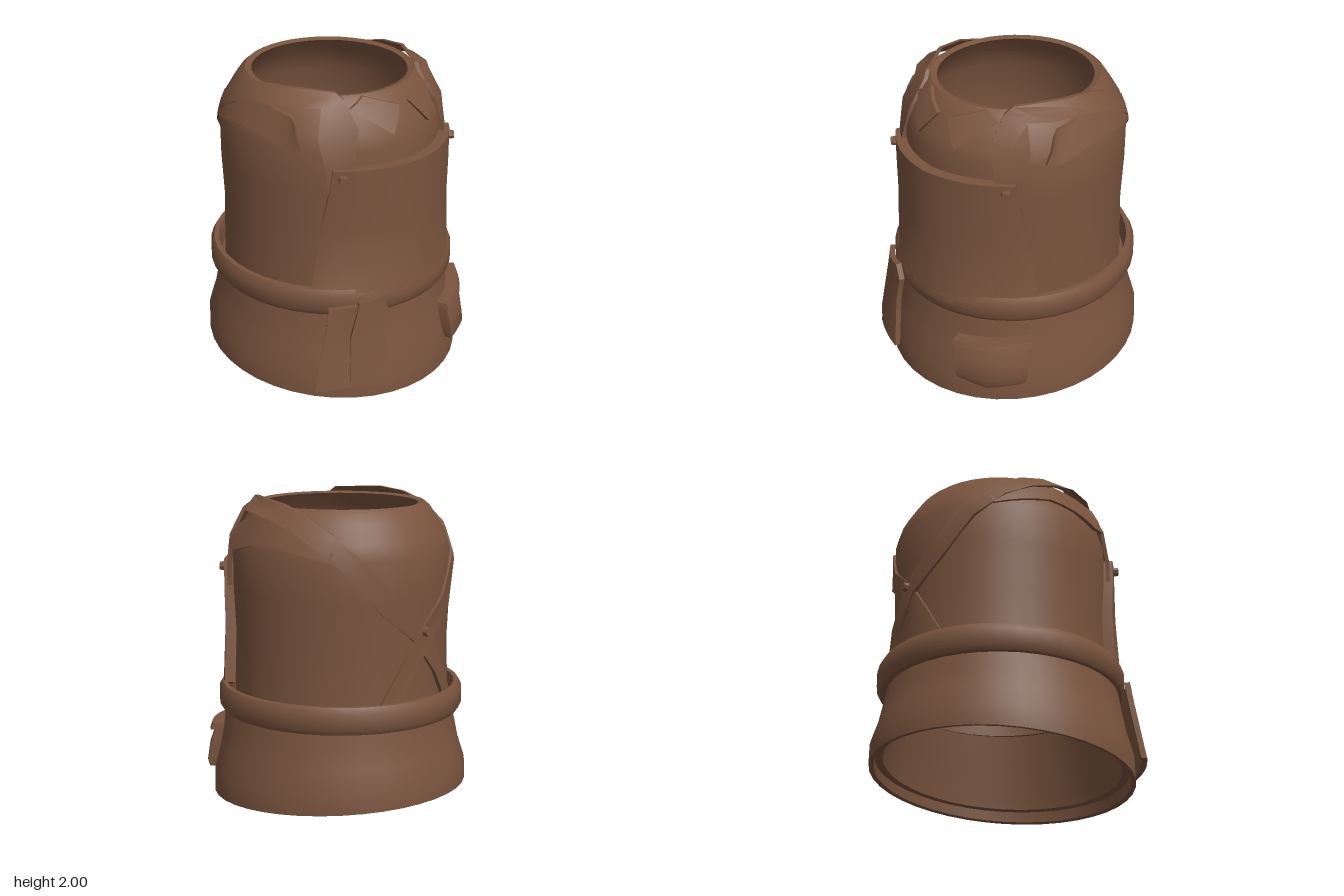
import * as THREE from 'three';
import { toCreasedNormals } from 'three/addons/utils/BufferGeometryUtils.js';

const leather = new THREE.MeshStandardMaterial({ color: 0x7a543e, side: THREE.DoubleSide });
leather.name = 'brown leather';

// outer profiles as [y, radius]
const TORSO = [[0.6, 0.7], [0.8, 0.695], [1.1, 0.687], [1.4, 0.7], [1.66, 0.7], [1.76, 0.67], [1.87, 0.605], [1.93, 0.565], [1.96, 0.53]];
const SKIRT = [[0.06, 0.835], [0.2, 0.833], [0.35, 0.79], [0.5, 0.762], [0.64, 0.742]];

function radius(profile, y) {
  if (y <= profile[0][0]) return profile[0][1];
  for (let i = 1; i < profile.length; i++) {
    const [y0, r0] = profile[i - 1], [y1, r1] = profile[i];
    if (y <= y1) return r0 + (r1 - r0) * (y - y0) / (y1 - y0);
  }
  return profile[profile.length - 1][1];
}

// point on the garment: angle in degrees from the front towards +x, height, lift off the surface
function onSurface(profile, a, y, lift) {
  const t = THREE.MathUtils.degToRad(a), r = radius(profile, y) + lift;
  return [r * Math.sin(t), y, r * Math.cos(t) * 1.02 - (profile === TORSO ? 0.02 : 0)];
}

function mesh(name, geometry, crease = 0.6) {
  const m = new THREE.Mesh(toCreasedNormals(geometry, crease), leather);
  m.name = name;
  return m;
}

// closed slab draped on the garment; each row is a list of [angle, y, lift]
function slab(name, profile, rows, { thick = 0.03, sub = 4, mirror = false } = {}) {
  const grid = rows.map(row => {
    const out = [];
    for (let i = 0; i < row.length - 1; i++) {
      for (let s = 0; s < sub; s++) out.push(row[i].map((v, k) => v + (row[i + 1][k] - v) * s / sub));
    }
    out.push(row[row.length - 1]);
    return mirror ? out.map(([a, y, l]) => [-a, y, l]).reverse() : out;
  });
  const n = grid[0].length, m = grid.length, total = n * m;
  const pos = [], idx = [];
  for (const t of [0, thick]) {
    for (const row of grid) for (const [a, y, l] of row) pos.push(...onSurface(profile, a, y, l - t));
  }
  const quad = (a, b, c, d) => idx.push(a, b, c, a, c, d);
  for (let j = 0; j < m - 1; j++) {
    for (let i = 0; i < n - 1; i++) {
      const p = j * n + i;
      quad(p, p + 1, p + n + 1, p + n);
      quad(total + p, total + p + n, total + p + n + 1, total + p + 1);
    }
  }
  const side = (a, b) => quad(b, a, total + a, total + b);
  for (let i = 0; i < n - 1; i++) {
    side(i, i + 1);
    side((m - 1) * n + i + 1, (m - 1) * n + i);
  }
  for (let j = 0; j < m - 1; j++) {
    side((j + 1) * n, j * n);
    side(j * n + n - 1, (j + 1) * n + n - 1);
  }
  const g = new THREE.BufferGeometry();
  g.setAttribute('position', new THREE.Float32BufferAttribute(pos, 3));
  g.setIndex(idx);
  return mesh(name, g);
}

// closed ring from [y, radius] points, oval in z, with an optional tilt of the hem
function ring(name, profile, shift, tilt = () => 0) {
  const pts = [...profile, profile[0]].map(([y, r]) => new THREE.Vector2(r, y));
  const g = new THREE.LatheGeometry(pts, 40);
  const p = g.attributes.position;
  for (let i = 0; i < p.count; i++) {
    const z = p.getZ(i) * 1.02 + shift;
    p.setZ(i, z);
    p.setY(i, p.getY(i) + tilt(p.getY(i)) * z);
  }
  return mesh(name, g);
}

function button(name, a, y, lift) {
  const g = new THREE.CylinderGeometry(0.026, 0.034, 0.04, 8);
  g.rotateX(Math.PI / 2);
  const b = mesh(name, g);
  b.position.set(...onSurface(TORSO, a, y, lift));
  b.rotation.y = THREE.MathUtils.degToRad(a);
  return b;
}

export function createModel() {
  const model = new THREE.Group();
  model.name = 'tunic';

  // body shells, hollow all the way through
  model.add(ring('torso', [...TORSO, [1.95, 0.49], [1.86, 0.56], [1.7, 0.65], [1.4, 0.66], [0.6, 0.66]], -0.02));
  model.add(ring('skirt', [...SKIRT, [0.64, 0.66], [0.45, 0.69], [0.2, 0.74], [0.13, 0.75], [0.13, 0.8], [0.065, 0.805]], 0,
    y => -0.076 * THREE.MathUtils.clamp((0.62 - y) / 0.55, 0, 1)));
  model.add(ring('belt', [[0.6, 0.73], [0.6, 0.775], [0.635, 0.797], [0.735, 0.797], [0.775, 0.775], [0.775, 0.745], [0.72, 0.73]], -0.01,
    () => -0.008));

  // front bib
  model.add(slab('bib', TORSO, [
    [[-38, 0.67, 0.105], [0, 0.67, 0.11], [38, 0.67, 0.105]],
    [[-45, 0.73, 0.105], [0, 0.73, 0.11], [45, 0.73, 0.105]],
    [[-54, 0.77, 0.075], [0, 0.77, 0.105], [54, 0.77, 0.075]],
    [[-50, 1.15, 0.065], [0, 1.15, 0.1], [50, 1.15, 0.065]],
    [[-46, 1.4, 0.06], [0, 1.4, 0.09], [46, 1.4, 0.06]],
    [[-44, 1.57, 0.06], [0, 1.57, 0.09], [44, 1.57, 0.06]],
  ], { thick: 0.07, sub: 8 }));

  for (const mirror of [false, true]) {
    const s = mirror ? 'right' : 'left', sign = mirror ? -1 : 1;
    const up = mirror ? 0.01 : 0; // one strap lies over the other at the back

    // strap over the shoulder, crossing at the back
    model.add(slab(s + 'Strap', TORSO, [
      [[33, 1.45, 0.03], [46, 1.4, 0.04]],
      [[34, 1.57, 0.03], [47, 1.55, 0.04]],
      [[31, 1.8, 0.03], [51, 1.75, 0.045]],
      [[37, 1.95, 0.03], [50, 1.92, 0.06]],
      [[42, 1.99, 0.025], [62, 1.92, 0.08]],
      [[75, 2.0, 0.025], [78, 1.92, 0.085]],
      [[95, 1.98, 0.03], [92, 1.89, 0.06]],
      [[112, 1.93, 0.03], [106, 1.84, 0.04]],
      [[130, 1.82, 0.025], [122, 1.73, 0.03]],
      [[146, 1.65, 0.02], [138, 1.57, 0.025]],
      [[164, 1.4, 0.02], [155, 1.32, 0.02]],
      [[182, 1.22, 0.02 + up], [174, 1.14, 0.02 + up]],
      [[196, 0.98, 0.025 + up], [189, 0.92, 0.025 + up]],
      [[207, 0.76, 0.03], [199, 0.72, 0.03]],
    ], { mirror, sub: 2, thick: 0.025 }));

    // shoulder flap under the strap
    model.add(slab(s + 'ShoulderFlap', TORSO, [
      [[58, 1.68, 0.045], [66, 1.67, 0.03], [81, 1.72, 0.02], [97, 1.74, 0.02], [113, 1.7, 0.02], [128, 1.66, 0.015]],
      [[61, 1.76, 0.05], [65, 1.8, 0.035], [81, 1.83, 0.025], [97, 1.85, 0.025], [114, 1.78, 0.02], [130, 1.71, 0.015]],
      [[63, 1.83, 0.06], [66, 1.86, 0.045], [81, 1.89, 0.03], [97, 1.9, 0.03], [114, 1.82, 0.02], [130, 1.73, 0.015]],
    ], { mirror, sub: 2, thick: 0.025 }));

    // pointed collar tip
    model.add(slab(s + 'Collar', TORSO, [
      [[4, 1.885, 0.035], [13, 1.74, 0.035]],
      [[13, 1.92, 0.03], [22, 1.82, 0.03]],
      [[25, 1.955, 0.02], [34, 1.9, 0.025]],
    ], { mirror, thick: 0.025 }));

    model.add(button(s + 'BibButton', sign * 39.5, 1.515, 0.075));
  }
  model.add(button('backButton', 180, 1.2, 0.035));

  // pouch with lid
  model.add(slab('pouch', SKIRT, [
    [[19.5, 0.17, 0.03], [33, 0.12, 0.03], [49, 0.17, 0.03]],
    [[18.5, 0.21, 0.045], [33, 0.19, 0.06], [49.5, 0.21, 0.045]],
    [[18, 0.32, 0.06], [33, 0.32, 0.075], [50, 0.32, 0.06]],
    [[18, 0.43, 0.05], [33, 0.44, 0.05], [50, 0.45, 0.05]],
  ], { thick: 0.09 }));
  model.add(slab('pouchLid', SKIRT, [
    [[16.5, 0.41, 0.08], [33, 0.42, 0.09], [52, 0.435, 0.08]],
    [[17, 0.445, 0.075], [33, 0.46, 0.08], [52, 0.48, 0.075]],
  ], { thick: 0.08 }));

  // two cloth tails hanging over the belt
  model.add(slab('outerTail', SKIRT, [
    [[-52, 0.11, 0.09], [-36, 0.14, 0.06]],
    [[-50, 0.35, 0.09], [-38, 0.35, 0.07]],
    [[-48, 0.52, 0.09], [-37, 0.52, 0.07]],
    [[-47, 0.66, 0.085], [-34, 0.68, 0.085]],
  ], { thick: 0.035 }));
  model.add(slab('innerTail', SKIRT, [
    [[-38, 0.14, 0.075], [-18.5, 0.13, 0.055]],
    [[-38, 0.46, 0.095], [-22.5, 0.46, 0.07]],
    [[-35, 0.63, 0.1], [-20, 0.63, 0.08]],
    [[-34, 0.7, 0.095], [-24, 0.72, 0.08]],
  ], { thick: 0.035 }));

  return model;
}
